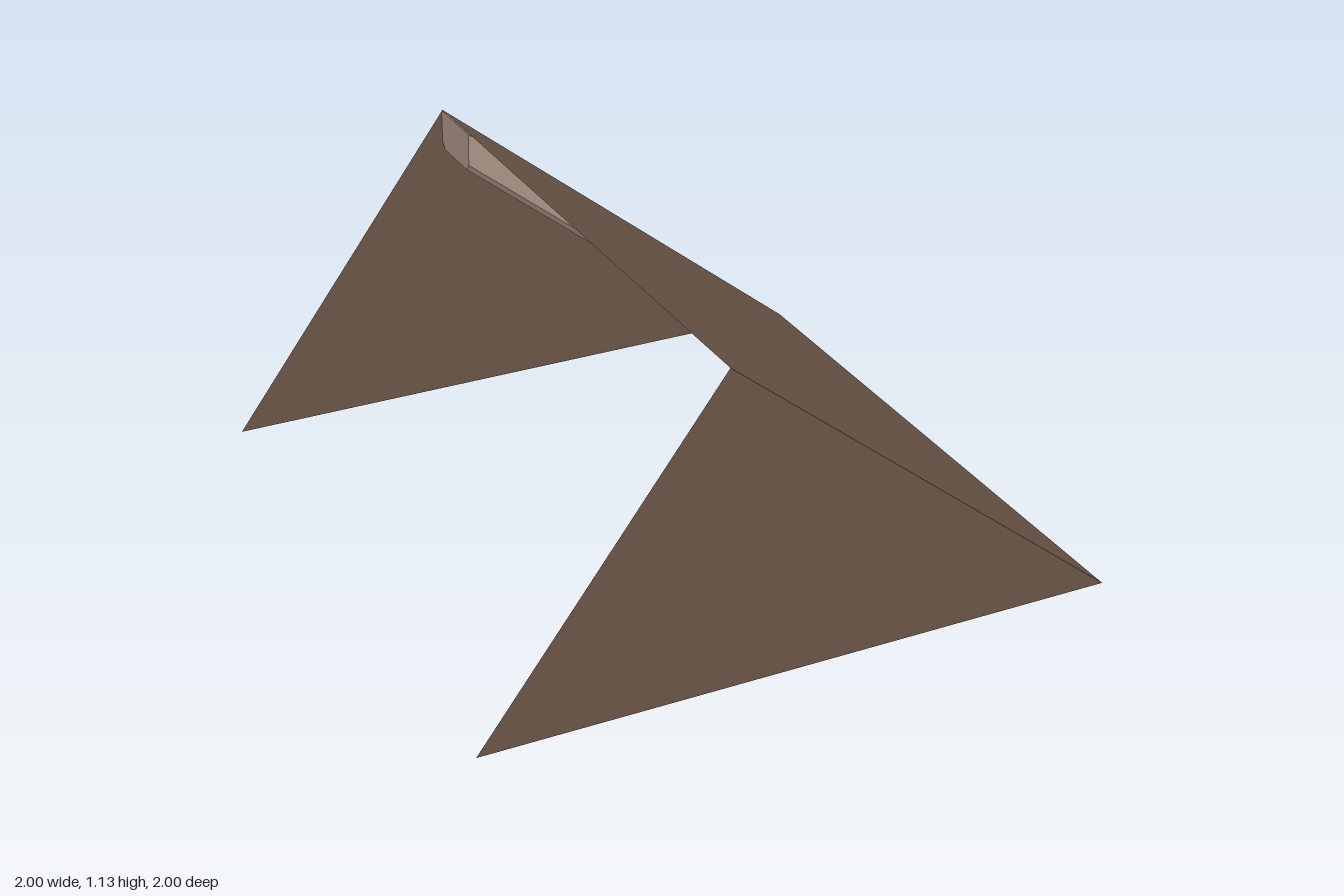
import * as THREE from 'three';

const RIDGE_X = -0.255, RIDGE_Y = 1.13, EAVE_X = 0.998, EAVE_Y = 0.132;

// Height of the roof plane at a given x
const roofY = (x) =>
  THREE.MathUtils.mapLinear(x, RIDGE_X, EAVE_X, RIDGE_Y, EAVE_Y);

export function createModel() {
  const model = new THREE.Group();
  model.name = 'roof';

  const roofBrown = new THREE.MeshStandardMaterial({ color: 0x6b5547, side: THREE.DoubleSide });
  roofBrown.name = 'roofBrown';
  const beamTan = new THREE.MeshStandardMaterial({ color: 0xad9687 });
  beamTan.name = 'beamTan';

  const add = (name, geometry, material) => {
    const mesh = new THREE.Mesh(geometry, material);
    mesh.name = name;
    model.add(mesh);
    return mesh;
  };

  // Triangular gable sheets at both ends
  const gable = new THREE.Shape([
    new THREE.Vector2(-1, EAVE_Y),
    new THREE.Vector2(EAVE_X, EAVE_Y),
    new THREE.Vector2(RIDGE_X, RIDGE_Y),
  ]);
  for (const [name, z, turn] of [['frontGable', 1, 1], ['backGable', -1, -1]]) {
    const geometry = new THREE.ShapeGeometry(gable);
    if (turn < 0) {
      // Reverse the corners so the back sheet faces outward
      geometry.setIndex([...geometry.index.array].reverse());
      geometry.computeVertexNormals();
    }
    add(name, geometry, roofBrown).position.z = z;
  }

  // Single sloping sheet from the ridge down to the eave
  const run = EAVE_X - RIDGE_X, rise = RIDGE_Y - EAVE_Y;
  const slope = new THREE.PlaneGeometry(Math.hypot(run, rise), 2);
  slope.rotateX(-Math.PI / 2);
  slope.rotateZ(-Math.atan2(rise, run));
  add('roofSlope', slope, roofBrown)
    .position.set((RIDGE_X + EAVE_X) / 2, (RIDGE_Y + EAVE_Y) / 2, 0);

  // Rafter under the slope: chamfered section (-z, drop) with upright cut ends
  const section = new THREE.Shape([
    [0.77, -0.003], [0.775, -0.11], [0.79, -0.132],
    [0.98, -0.132], [0.996, -0.11], [0.996, -0.003],
  ].map(([a, drop]) => new THREE.Vector2(a, drop)));
  const rafter = new THREE.ExtrudeGeometry(section, { depth: 1, bevelEnabled: false });
  const p = rafter.attributes.position;
  for (let i = 0; i < p.count; i++) {
    const x = THREE.MathUtils.lerp(RIDGE_X - 0.005, EAVE_X + 0.002, p.getZ(i));
    p.setXYZ(i, x, Math.max(0, roofY(x) + p.getY(i)), -p.getX(i));
  }
  rafter.computeVertexNormals();
  add('rafter', rafter, beamTan);

  return model;
}
